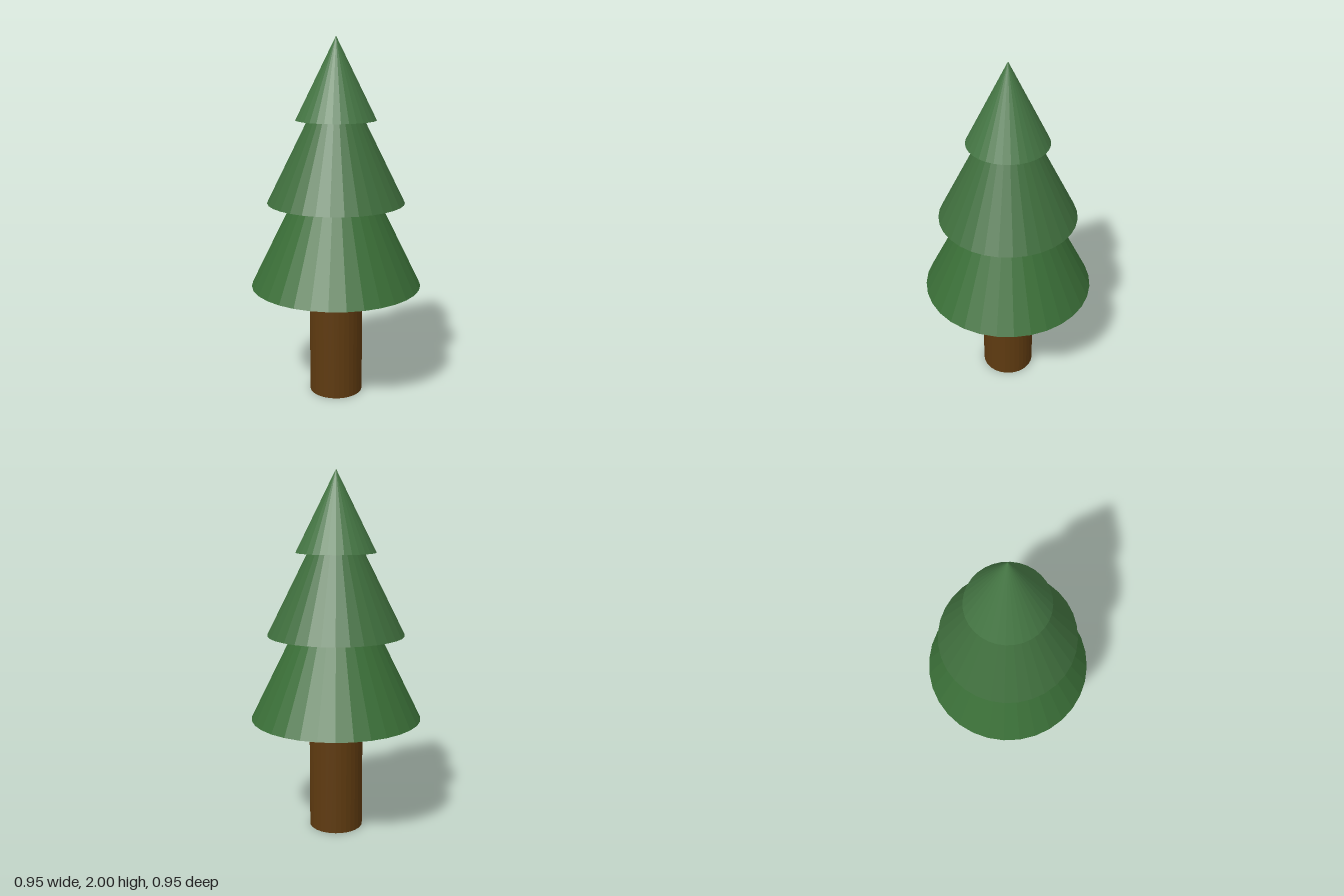
import * as THREE from 'three';

const SIDES = 32;

function addPart(group, name, geometry, color, bottom, height) {
  const material = new THREE.MeshStandardMaterial({ color, flatShading: true });
  const mesh = new THREE.Mesh(geometry, material);
  mesh.name = name;
  mesh.position.y = bottom + height / 2;
  group.add(mesh);
}

export function createModel() {
  const group = new THREE.Group();
  group.name = 'pineTree';

  // Trunk, meeting the underside of the lowest tier
  const trunkHeight = 0.64;
  addPart(group, 'trunk', new THREE.CylinderGeometry(0.15, 0.15, trunkHeight, SIDES), 0x5e3a10, 0, trunkHeight);

  // Overlapping cones of foliage, lowest first
  const tiers = [
    { name: 'lowerFoliage', radius: 0.475, bottom: 0.64, top: 1.6, color: 0x3a6e37 },
    { name: 'middleFoliage', radius: 0.38, bottom: 1.11, top: 1.87, color: 0x3f6e3d },
    { name: 'upperFoliage', radius: 0.22, bottom: 1.56, top: 2, color: 0x447543 },
  ];
  for (const { name, radius, bottom, top, color } of tiers) {
    const height = top - bottom;
    addPart(group, name, new THREE.ConeGeometry(radius, height, SIDES), color, bottom, height);
  }
  return group;
}
